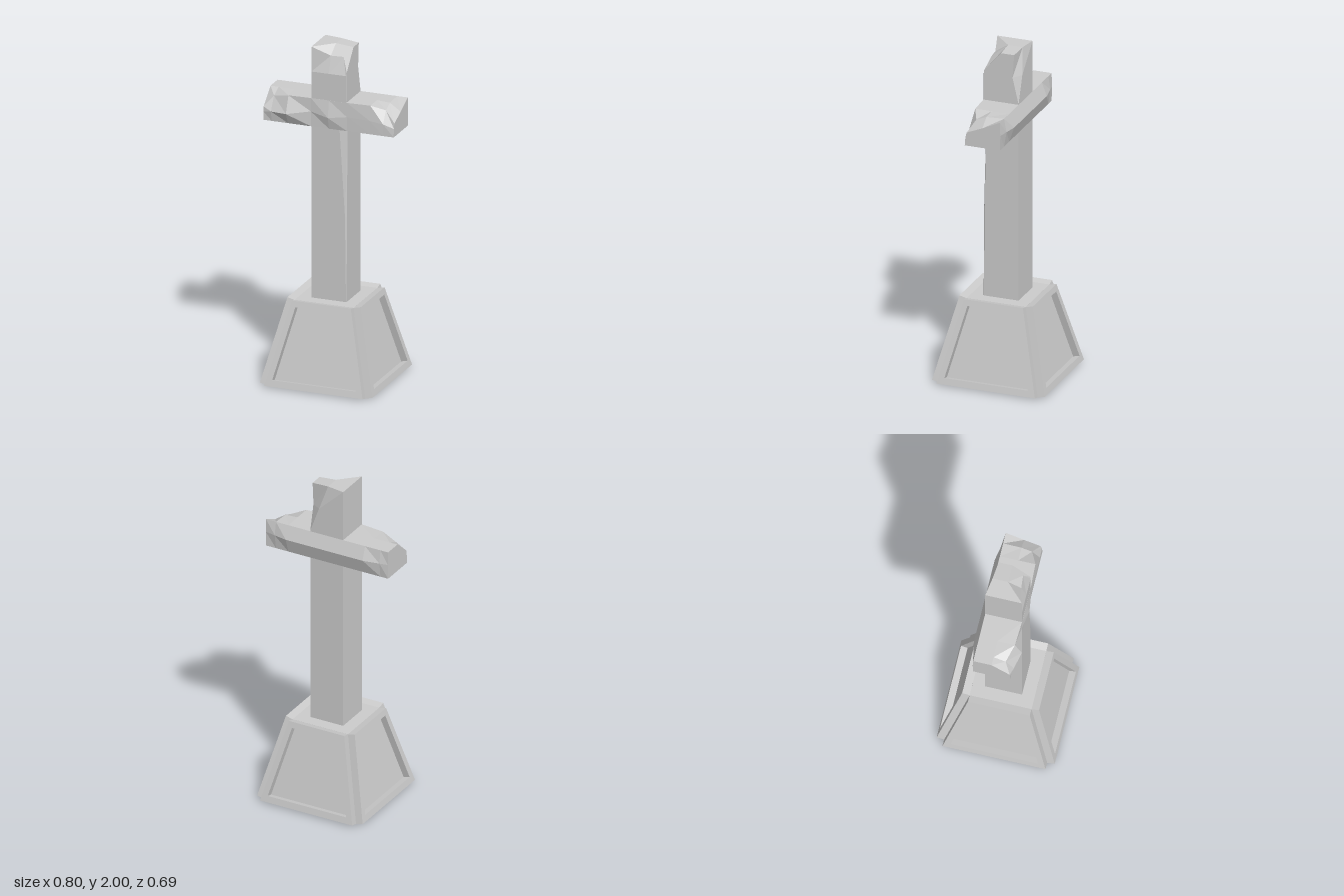
import * as THREE from 'three';

const stone = new THREE.MeshStandardMaterial({ color: 0xcccccc, flatShading: true });

function addPart(parent, name, geometry) {
  const mesh = new THREE.Mesh(geometry, stone);
  mesh.name = name;
  parent.add(mesh);
  return mesh;
}

// Skin a stack of equal-length rings (counter-clockwise about the stacking axis) and cap both ends.
function loft(rings, startCentre, endCentre) {
  const n = rings[0].length;
  const pos = [];
  const tri = (...points) => points.forEach((p) => pos.push(...p));
  for (let i = 0; i < rings.length - 1; i++) {
    for (let j = 0; j < n; j++) {
      const k = (j + 1) % n;
      const [a, b, c, d] = [rings[i][j], rings[i][k], rings[i + 1][k], rings[i + 1][j]];
      tri(a, b, c);
      tri(a, c, d);
    }
  }
  const last = rings[rings.length - 1];
  for (let j = 0; j < n; j++) {
    const k = (j + 1) % n;
    tri(startCentre, rings[0][k], rings[0][j]);
    tri(endCentre, last[j], last[k]);
  }
  const geometry = new THREE.BufferGeometry();
  geometry.setAttribute('position', new THREE.Float32BufferAttribute(pos, 3));
  geometry.computeVertexNormals();
  return geometry;
}

// Upright: square section with a chipped front-left corner and a chipped back-left corner.
function uprightGeometry() {
  const w = 0.107;
  // y, front corner x, front corner z on the side, back corner z on the side, back corner x
  const stations = [
    [0.48, 0.104, 0.105, -0.106, 0.106],
    [1.0, 0.098, 0.1, -0.106, 0.106],
    [1.52, 0.065, 0.09, -0.106, 0.106],
    [1.7, 0.105, 0.105, -0.105, 0.105],
    [1.85, 0.103, 0.104, -0.07, 0.05],
  ];
  const rings = stations.map(([y, cx, cz, az, bx]) => [
    [-w, y, -w], [-w, y, w], [0, y, w], [cx, y, w],
    [w, y, cz], [w, y, 0], [w, y, az], [bx, y, -w],
  ]);
  // broken top
  rings.push([
    [-w, 2, -w], [-w, 2, w], [0, 1.95, 0.077], [0.075, 1.95, 0.07],
    [w, 1.87, 0.103], [w, 1.99, 0], [w, 1.99, -0.08], [0, 2, -0.09],
  ]);
  return loft(rings, [0, 0.48, 0], [0, 2, 0]);
}

// Crossbar: worn front and back faces, with the upper front corners broken off.
function crossbarGeometry() {
  const bottom = 1.52, top = 1.69, d = 0.107;
  // x, back bulge z, top middle y, front top y, front top z, front middle y, front middle z
  const stations = [
    [-0.4, -0.11, 1.69, 1.6, 0.105, 1.57, 0.107],
    [-0.35, -0.119, 1.69, 1.66, 0.07, 1.58, 0.118],
    [-0.25, -0.137, 1.69, 1.685, 0.1, 1.585, 0.14],
    [-0.11, -0.137, 1.69, 1.69, 0.107, 1.61, 0.109],
    [0, -0.137, 1.69, 1.69, 0.108, 1.59, 0.125],
    [0.11, -0.137, 1.69, 1.69, 0.107, 1.605, 0.109],
    [0.25, -0.137, 1.69, 1.69, 0.1, 1.6, 0.108],
    [0.33, -0.122, 1.685, 1.66, 0.062, 1.59, 0.107],
    [0.395, -0.11, 1.64, 1.6, 0.095, 1.57, 0.103],
  ];
  const rings = stations.map(([x, bz, ty, fy, fz, my, mz]) => [
    [x, bottom, -d], [x, 1.61, bz], [x, top, -d], [x, ty, 0],
    [x, fy, fz], [x, my, mz], [x, bottom, d],
  ]);
  return loft(rings, [-0.4, 1.58, 0], [0.395, 1.58, 0]);
}

// Tapered panel outline, bottom edge first.
function trapezoid(target, y0, half0, y1, half1) {
  target.moveTo(-half0, y0);
  target.lineTo(half0, y0);
  target.lineTo(half1, y1);
  target.lineTo(-half1, y1);
  target.closePath();
  return target;
}

function slab(depth, withOpening) {
  const shape = trapezoid(new THREE.Shape(), 0, 0.3, 0.504, 0.18);
  if (withOpening) shape.holes.push(trapezoid(new THREE.Path(), 0.038, 0.255, 0.468, 0.155));
  return new THREE.ExtrudeGeometry(shape, { depth, bevelEnabled: false });
}

function createPlinth() {
  const plinth = new THREE.Group();
  plinth.name = 'plinth';
  const core = new THREE.CylinderGeometry(0.18 * Math.SQRT2, 0.3 * Math.SQRT2, 0.49, 4);
  core.rotateY(Math.PI / 4).translate(0, 0.245, 0);
  addPart(plinth, 'plinthCore', core);

  // Four leaning sides, each a recessed panel behind a frame
  const backing = slab(0.005, false);
  const frame = slab(0.04, true).translate(0, 0, 0.005);
  for (const geometry of [backing, frame]) {
    geometry.rotateX(-Math.atan2(0.12, 0.49)).translate(0, 0, 0.3);
  }
  for (let i = 0; i < 4; i++) {
    const side = new THREE.Group();
    side.name = 'plinthSide';
    addPart(side, 'recessedPanel', backing);
    addPart(side, 'panelFrame', frame);
    side.rotation.y = (i * Math.PI) / 2;
    plinth.add(side);
  }
  return plinth;
}

export function createModel() {
  const model = new THREE.Group();
  model.name = 'stoneCross';
  model.add(createPlinth());
  addPart(model, 'upright', uprightGeometry());
  addPart(model, 'crossbar', crossbarGeometry());
  return model;
}
